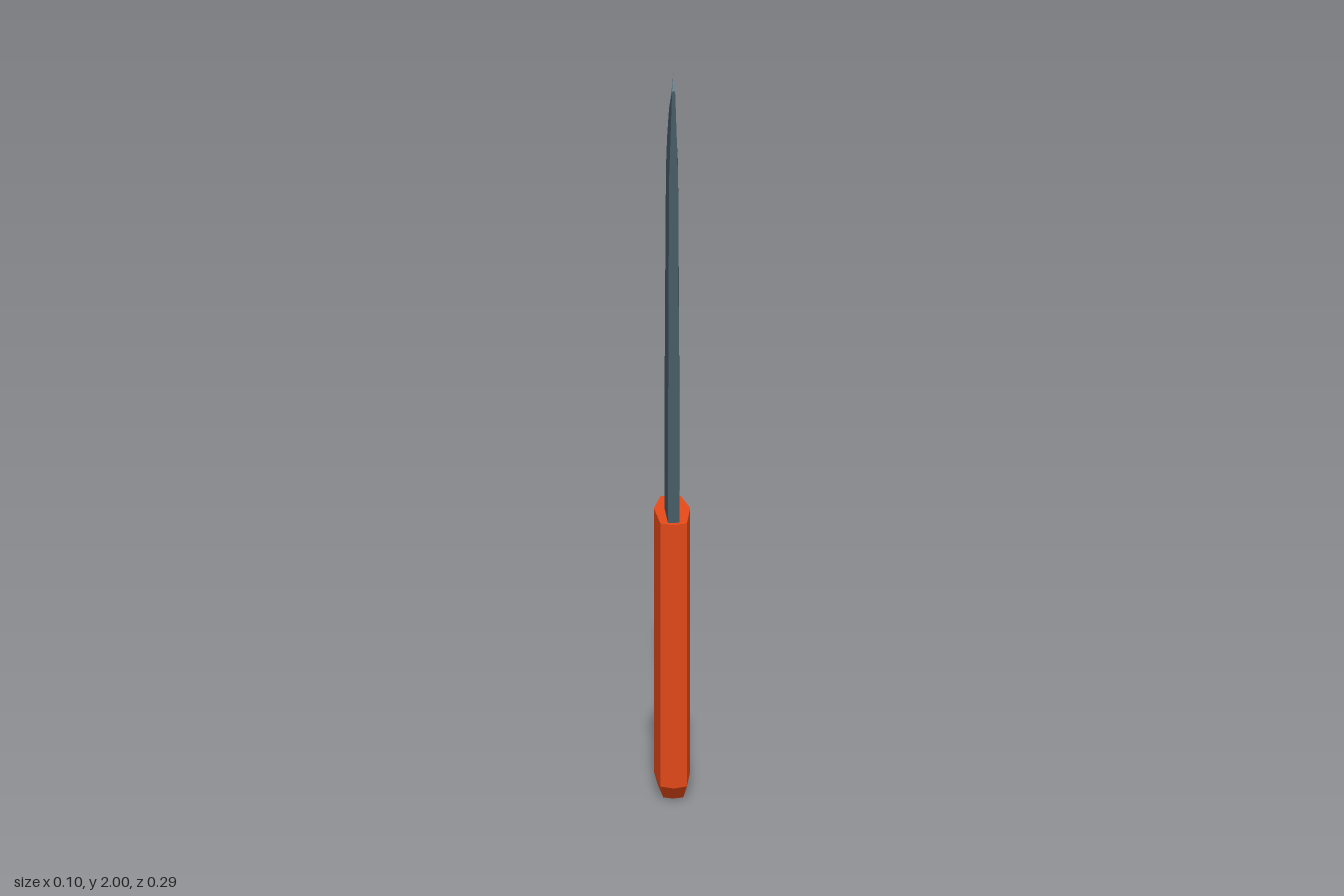
import * as THREE from 'three';

// Skin a list of equal-length closed rings of Vector3 and cap both ends.
function loft(name, color, rings) {
  const pos = [];
  const tri = (a, b, c) => {
    if (a.distanceTo(b) * b.distanceTo(c) * c.distanceTo(a) > 0) {
      for (const p of [a, b, c]) pos.push(p.x, p.y, p.z);
    }
  };
  const n = rings[0].length;
  for (let i = 0; i < rings.length - 1; i++) {
    for (let j = 0; j < n; j++) {
      const k = (j + 1) % n, lo = rings[i], hi = rings[i + 1];
      tri(lo[j], lo[k], hi[k]);
      tri(lo[j], hi[k], hi[j]);
    }
  }
  const bottom = rings[0], top = rings[rings.length - 1];
  for (let j = 1; j < n - 1; j++) {
    tri(bottom[0], bottom[j + 1], bottom[j]);
    tri(top[0], top[j], top[j + 1]);
  }
  const geo = new THREE.BufferGeometry();
  geo.setAttribute('position', new THREE.Float32BufferAttribute(pos, 3));
  geo.computeVertexNormals();
  const mesh = new THREE.Mesh(geo, new THREE.MeshStandardMaterial({ color, flatShading: true }));
  mesh.name = name;
  return mesh;
}

// Mirror a half outline of [x, y, z] points (front to back) into a closed ring.
function mirrorRing(half) {
  const right = half.map(([x, y, z]) => new THREE.Vector3(x, y, z));
  const left = half.filter(([x]) => x > 0).reverse().map(([x, y, z]) => new THREE.Vector3(-x, y, z));
  return [...right, ...left];
}

export function createModel() {
  const model = new THREE.Group();
  model.name = 'knife';

  // Handle: [height, front ridge z, front corner z, back corner z, back ridge z, back corner x, width scale]
  const handleRows = [
    [0, 0.102, 0.09, -0.1, -0.11, 0.027, 0.75],
    [0.04, 0.146, 0.127, -0.136, -0.146, 0.027, 1],
    [0.12, 0.146, 0.127, -0.136, -0.146, 0.027, 1],
    [0.22, 0.146, 0.127, -0.091, -0.1, 0.03, 1],
    [0.58, 0.146, 0.127, -0.091, -0.1, 0.03, 1],
    [0.71, 0.146, 0.127, -0.136, -0.146, 0.027, 1],
    [0.76, 0.146, 0.127, -0.136, -0.146, 0.027, 1],
  ];
  model.add(loft('handle', 0xe64a19, handleRows.map(([y, f, fc, bc, b, bx, s]) => mirrorRing([
    [0, y, f], [0.035 * s, y, fc], [0.048 * s, y, -0.02], [bx * s, y, bc], [0, y, b],
  ]))));

  // Blade body: spine, thickest line and start of the bevel at each station
  const bladeRows = [
    [[0.015, 0.74, 0.122], [0.02, 0.74, -0.02], [0.0145, 0.74, -0.094]],
    [[0.014, 1.22, 0.122], [0.019, 1.22, -0.02], [0.014, 1.22, -0.094]],
    [[0.012, 1.7, 0.122], [0.016, 1.7, -0.018], [0.0125, 1.7, -0.094]],
    [[0.004, 1.94, 0.122], [0.008, 1.857, -0.012], [0.011, 1.75, -0.094]],
  ];
  model.add(loft('blade', 0x455a64, bladeRows.map(mirrorRing)));

  // Cutting edge: wedge running up the back and around the tip
  const [base, middle, shoulder, tip] = bladeRows;
  const edgePath = [
    [base[2], [0, 0.74, -0.124]],
    [middle[2], [0, 1.22, -0.124]],
    [shoulder[2], [0, 1.7, -0.124]],
    [tip[2], [0, 1.82, -0.097]],
    [tip[1], [0, 1.915, -0.018]],
    [tip[0], [0, 2, 0.122]],
  ];
  model.add(loft('cuttingEdge', 0x78909c, edgePath.map(mirrorRing)));

  return model;
}
